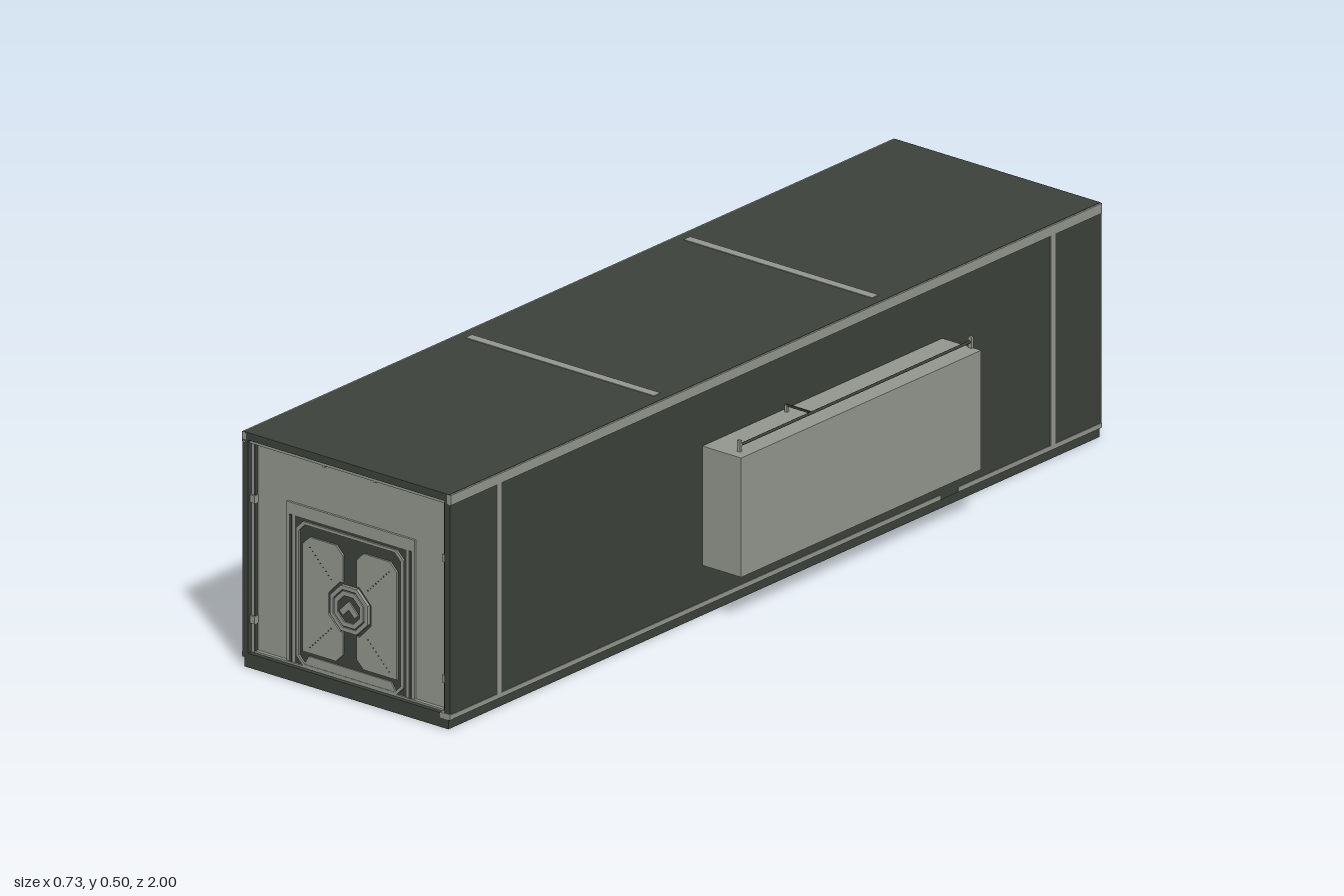
import * as THREE from 'three';

const grey = new THREE.MeshStandardMaterial({ color: 0x92968d });
grey.name = 'warmGrey';
const dark = new THREE.MeshStandardMaterial({ color: 0x3b423a });
dark.name = 'darkGreen';

// Box given by its min and max corners
function box(parent, name, mat, x0, x1, y0, y1, z0, z1) {
  const m = new THREE.Mesh(new THREE.BoxGeometry(x1 - x0, y1 - y0, z1 - z0), mat);
  m.position.set((x0 + x1) / 2, (y0 + y1) / 2, (z0 + z1) / 2);
  m.name = name;
  parent.add(m);
  return m;
}

// Rectangle outline with one chamfer per corner: bottom left, bottom right, top right, top left
function chamfered(x0, x1, y0, y1, [a, b, c, d]) {
  return [[x0 + a, y0], [x1 - b, y0], [x1, y0 + b], [x1, y1 - c],
    [x1 - c, y1], [x0 + d, y1], [x0, y1 - d], [x0, y0 + a]].map(p => new THREE.Vector2(...p));
}

function octagon(r, cy) {
  return Array.from({ length: 8 }, (_, i) => {
    const t = (i + 0.5) * Math.PI / 4;
    return new THREE.Vector2(Math.cos(t) * r, cy + Math.sin(t) * r);
  });
}

// Flat plate from an outline, with an optional hole
function plate(parent, name, mat, points, z, depth, hole) {
  const shape = new THREE.Shape(points);
  if (hole) shape.holes.push(new THREE.Path(hole));
  const m = new THREE.Mesh(new THREE.ExtrudeGeometry(shape, { depth, bevelEnabled: false }), mat);
  m.position.z = z;
  m.name = name;
  parent.add(m);
}

function endWall() {
  const g = new THREE.Group();
  // Recessed wall and raised door surround
  box(g, 'endPanel', grey, -0.25, 0.25, 0.03, 0.475, 0.95, 0.982);
  box(g, 'surroundTop', grey, -0.163, 0.163, 0.345, 0.37, 0.98, 0.987);
  for (const s of [-1, 1]) {
    const side = (name, mat, a, b, y0, y1, z0, z1) =>
      box(g, name, mat, Math.min(s * a, s * b), Math.max(s * a, s * b), y0, y1, z0, z1);
    side('surroundSide', grey, 0.142, 0.163, 0.032, 0.345, 0.98, 0.987);
    side('doorRail', dark, 0.149, 0.155, 0.033, 0.345, 0.986, 0.989);
    side('edgeTrim', grey, 0.241, 0.25, 0.03, 0.475, 0.98, 0.99);
    side('trimGroove', dark, 0.2405, 0.2425, 0.03, 0.47, 0.98, 0.9905);
    for (const y of [0.1, 0.355]) side('trimClip', grey, 0.239, 0.25, y - 0.008, y + 0.008, 0.98, 0.994);
    side('topClip', grey, 0.062, 0.067, 0.468, 0.477, 0.98, 0.992);
  }
  box(g, 'topTrim', grey, -0.25, 0.25, 0.472, 0.48, 0.98, 0.994);
  box(g, 'topGroove', dark, -0.24, 0.24, 0.4705, 0.472, 0.98, 0.984);
  box(g, 'sillTrim', grey, -0.25, 0.25, 0.03, 0.034, 0.98, 0.99);

  // Door leaf with chamfered rim
  const door = new THREE.Group();
  door.name = 'door';
  g.add(door);
  box(door, 'doorLeaf', dark, -0.142, 0.142, 0.032, 0.345, 0.98, 0.986);
  plate(door, 'doorRim', grey, chamfered(-0.137, 0.137, 0.034, 0.339, [0.018, 0.018, 0.018, 0.018]), 0.985, 0.005,
    chamfered(-0.13, 0.13, 0.038, 0.333, [0.016, 0.016, 0.016, 0.016]));

  // Two tall panels, notched around the hub
  const cy = 0.183;
  for (const s of [-1, 1]) {
    const outline = [[0.12, 0.065], [0.12, 0.292], [0.102, 0.31], [0.035, 0.31], [0.017, 0.292],
      [0.017, cy + 0.052], [0.025, cy + 0.052], [0.054, cy + 0.022], [0.054, cy - 0.022],
      [0.025, cy - 0.052], [0.017, cy - 0.052], [0.017, 0.083], [0.035, 0.065]]
      .map(([x, y]) => new THREE.Vector2(s * x, y));
    plate(door, 'doorPanel', grey, outline, 0.985, 0.005);
    // Diagonal rows of rivets
    for (const v of [-1, 1]) for (let i = 0; i < 9; i++) {
      const d = 0.047 + i * 0.0067;
      const x = s * d, y = cy + v * (d + 0.005);
      box(door, 'rivet', dark, x - 0.001, x + 0.001, y - 0.001, y + 0.001, 0.988, 0.9915);
    }
  }
  plate(door, 'kickPanel', grey,
    [[-0.118, 0.036], [0.118, 0.036], [0.105, 0.057], [-0.105, 0.057]].map(p => new THREE.Vector2(...p)), 0.985, 0.004);

  // Octagonal hub with a bent latch handle
  plate(door, 'hubRing', grey, octagon(0.052, cy), 0.985, 0.008, octagon(0.043, cy));
  plate(door, 'hubGroove', dark, octagon(0.043, cy), 0.985, 0.005);
  plate(door, 'hubInnerRing', grey, octagon(0.04, cy), 0.986, 0.007, octagon(0.03, cy));
  plate(door, 'latchHandle', grey,
    [[-0.024, -0.006], [-0.015, -0.015], [0, 0], [0.015, -0.015], [0.024, -0.006], [0, 0.018]]
      .map(([x, y]) => new THREE.Vector2(x, cy + y)), 0.989, 0.004);
  return g;
}

export function createModel() {
  const model = new THREE.Group();
  model.name = 'container';

  // Hull
  box(model, 'floorSlab', dark, -0.26, 0.26, 0, 0.03, -1, 1);
  box(model, 'roofSlab', dark, -0.262, 0.262, 0.48, 0.496, -1, 1);
  for (const s of [-1, 1]) {
    const side = (name, mat, a, b, y0, y1, z0, z1) =>
      box(model, name, mat, Math.min(s * a, s * b), Math.max(s * a, s * b), y0, y1, z0, z1);
    side('sideWall', dark, 0.25, 0.264, 0.02, 0.48, -1, 1);
    side('roofEdgeTrim', grey, 0.255, 0.266, 0.474, 0.495, -1, 1);
    for (const z of [-0.85, 0.85]) side('wallStripe', grey, 0.262, 0.2655, 0.03, 0.476, z - 0.007, z + 0.007);
    // Lower trim in two lengths with a short gap
    side('lowerTrim', grey, 0.262, 0.2655, 0.021, 0.031, -0.505, 1);
    side('lowerTrim', grey, 0.262, 0.2655, 0.021, 0.031, -1, -0.56);
    // Roof seams
    box(model, 'roofSeam', grey, -0.24, 0.24, 0.49, 0.4975, s * 0.335 - 0.01, s * 0.335 + 0.01);
  }
  box(model, 'cornerFoot', grey, 0.24, 0.265, 0.02, 0.032, 0.99, 1.001);

  // Matching end walls
  for (const [name, turn] of [['frontEnd', 0], ['backEnd', Math.PI]]) {
    const end = endWall();
    end.name = name;
    end.rotation.y = turn;
    model.add(end);
  }

  // Long side unit with its top rod and brackets
  box(model, 'leftUnit', grey, 0.26, 0.363, 0.108, 0.36, -0.512, 0.225);
  const rod = new THREE.Mesh(new THREE.CylinderGeometry(0.003, 0.003, 0.71, 8), dark);
  rod.rotation.x = Math.PI / 2;
  rod.position.set(0.338, 0.373, -0.155);
  rod.name = 'topRod';
  model.add(rod);
  for (const z of [0.2, -0.51]) box(model, 'rodPost', grey, 0.334, 0.342, 0.358, 0.384, z - 0.003, z + 0.003);
  box(model, 'armPost', grey, 0.273, 0.279, 0.358, 0.375, -0.023, -0.017);
  box(model, 'rodArm', dark, 0.273, 0.338, 0.372, 0.376, -0.022, -0.018);

  // Short side unit with a raised lid
  box(model, 'rightUnit', grey, -0.365, -0.26, 0.092, 0.35, 0.21, 0.67);
  box(model, 'rightUnitLid', grey, -0.347, -0.276, 0.348, 0.36, 0.26, 0.483);
  return model;
}
